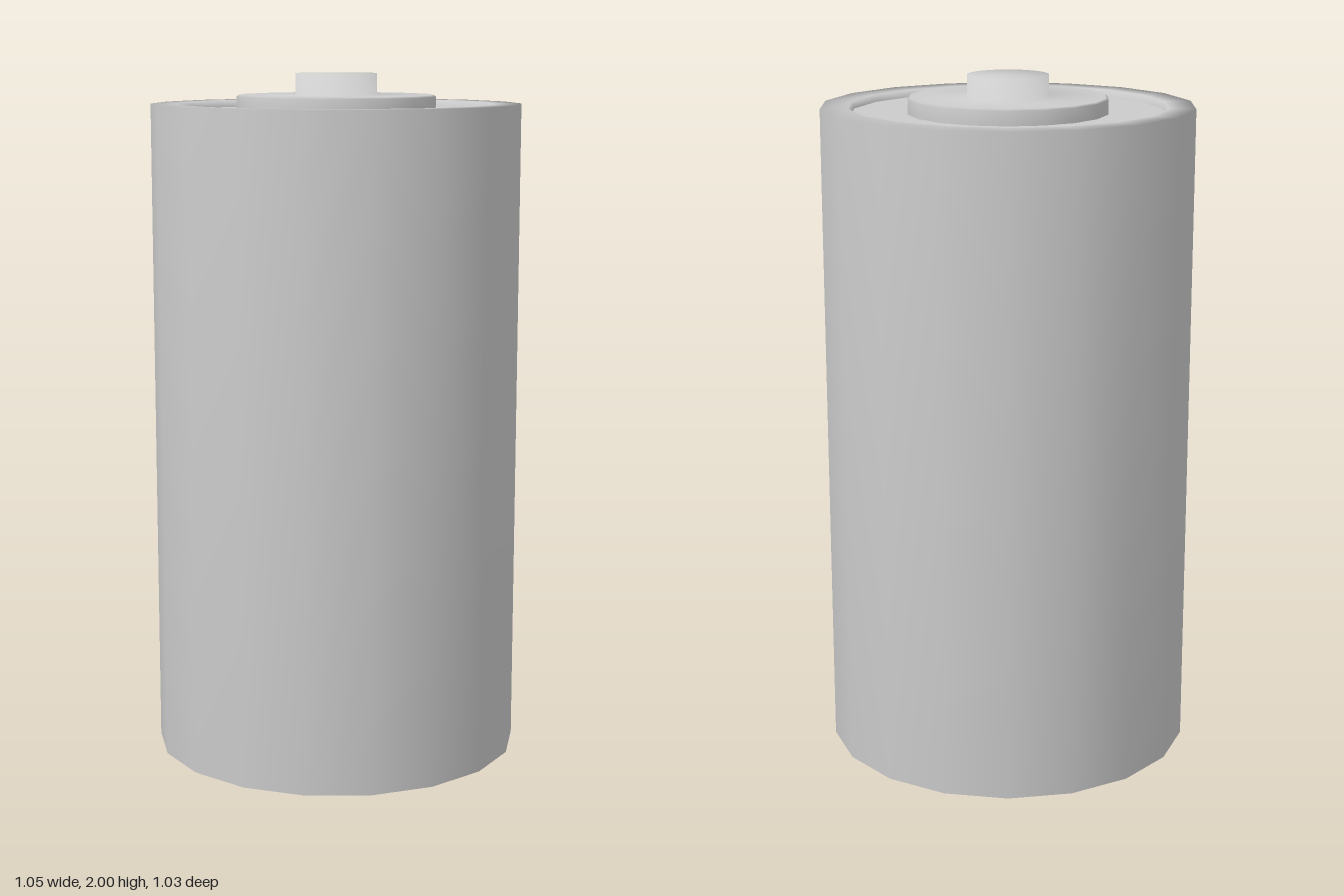
import * as THREE from 'three';

const SIDES = 18;

export function createModel() {
  const group = new THREE.Group();
  const material = new THREE.MeshStandardMaterial({ color: 0xcccccc });

  // Spins a [radius, height] profile, listed from bottom to top, with a corner on +x
  function turned(name, profile) {
    const points = profile.map(([r, y]) => new THREE.Vector2(r, y));
    const mesh = new THREE.Mesh(new THREE.LatheGeometry(points, SIDES, Math.PI / 2), material);
    mesh.name = name;
    group.add(mesh);
  }

  // Bottom contact, underside, casing wall and raised top rim
  turned('casing', [
    [0, 0], [0.14, 0], [0.14, 0.035], [0.42, 0.035], [0.46, 0.047],
    [0.525, 0.05], [0.525, 1.915], [0.448, 1.915], [0.441, 1.895],
  ]);

  // Flat plate sunk inside the rim
  turned('topPlate', [[0.441, 1.895], [0, 1.895]]);

  // Stepped top contact: wide disc with a small nub
  turned('topContact', [
    [0.282, 1.895], [0.282, 1.935], [0.275, 1.94],
    [0.115, 1.94], [0.115, 2], [0, 2],
  ]);

  return group;
}
